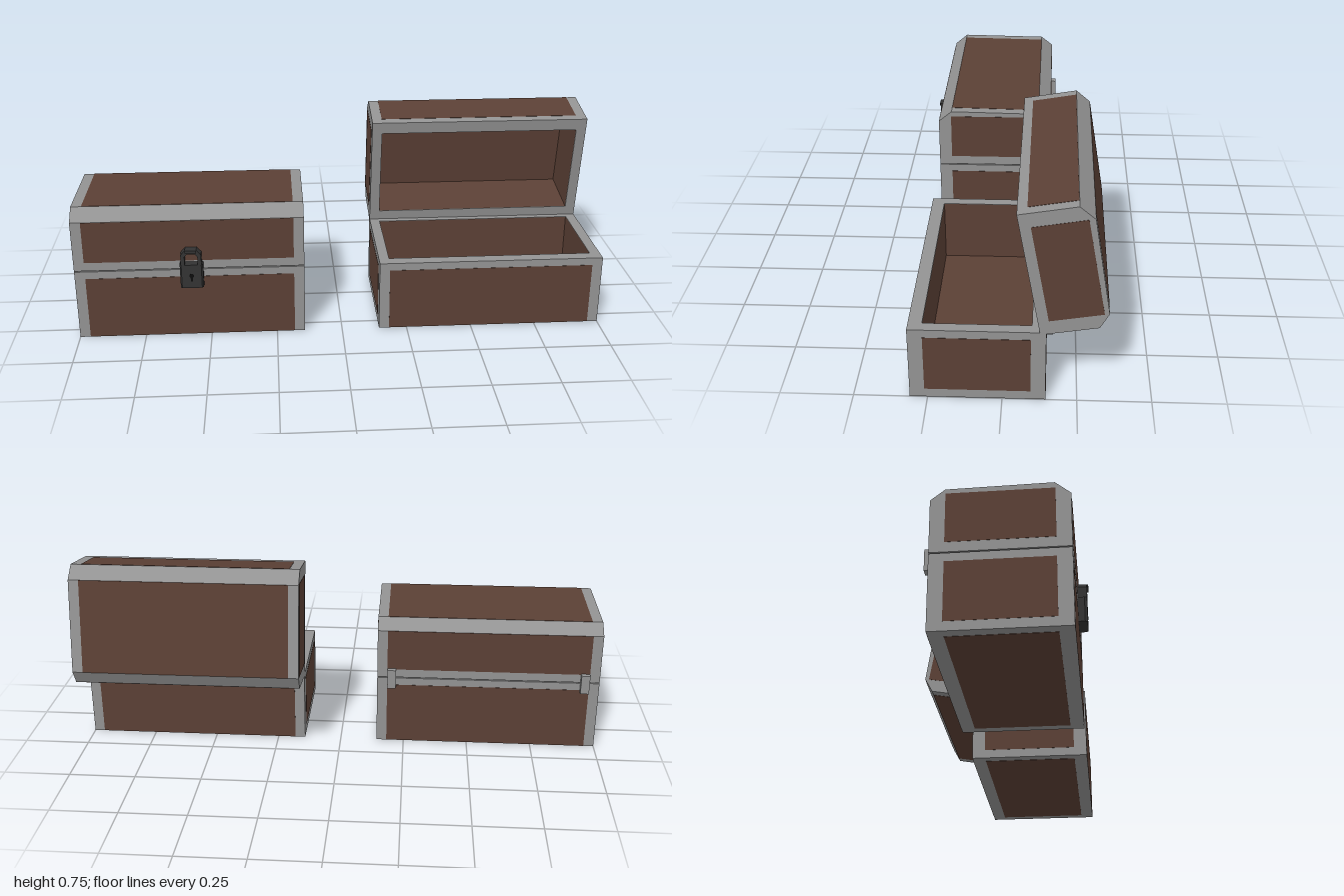
import * as THREE from 'three';

const grey = new THREE.MeshStandardMaterial({ color: 0x939393, flatShading: true });
const wood = new THREE.MeshStandardMaterial({ color: 0x5b4035, flatShading: true });
const lining = new THREE.MeshStandardMaterial({ color: 0x5b4035, side: THREE.BackSide });
const iron = new THREE.MeshStandardMaterial({ color: 0x333333, flatShading: true });
const black = new THREE.MeshStandardMaterial({ color: 0x0c0c0c });

const W = 0.857, D = 0.455, H = 0.273; // chest width, depth, base height
const TX = 0.039, TZ = 0.047;          // wall thickness at the ends and at front/back
const BACK = -0.145;

function add(parent, name, geometry, material, x = 0, y = 0, z = 0) {
  const mesh = new THREE.Mesh(geometry, material);
  mesh.name = name;
  mesh.position.set(x, y, z);
  parent.add(mesh);
  return mesh;
}

// Extrude a (z, y) outline along x, centred on x = 0
function extrudeX(points, width) {
  const shape = new THREE.Shape(points.map(p => new THREE.Vector2(...p)));
  return new THREE.ExtrudeGeometry(shape, { depth: width, bevelEnabled: false })
    .translate(0, 0, -width / 2).rotateY(-Math.PI / 2);
}

// Hollow box: a channel section between two end walls
function addShell(g, outer, inner) {
  add(g, 'channel', extrudeX([...outer, ...inner], W - 2 * TX), grey);
  for (const s of [-1, 1]) add(g, 'endWall', extrudeX(outer, TX), grey, s * (W - TX) / 2);
}

// Wooden inside; openFace is the box face left out (2 = top, 3 = bottom)
function addLining(g, y0, y1, openFace) {
  const geo = new THREE.BoxGeometry(W - 2 * TX - 0.002, y1 - y0, D - 2 * TZ - 0.002);
  const index = Array.from(geo.index.array);
  index.splice(openFace * 6, 6);
  geo.setIndex(index);
  geo.clearGroups();
  add(g, 'lining', geo, lining, 0, (y0 + y1) / 2, D / 2);
}

// Thin wooden panels on front, back and both ends
function addPanels(g, front, end) {
  const h = front[1] - front[0], e = end[1] - end[0];
  for (const z of [0, D])
    add(g, 'longPanel', new THREE.BoxGeometry(W - 2 * TX, h, 0.002), wood, 0, (front[0] + front[1]) / 2, z);
  for (const s of [-1, 1])
    add(g, 'endPanel', new THREE.BoxGeometry(0.002, e, D - 0.1), wood, s * W / 2, (end[0] + end[1]) / 2, D / 2);
}

function addHingeLeaves(g, y) {
  for (const s of [-1, 1])
    add(g, 'hingeLeaf', new THREE.BoxGeometry(0.033, 0.038, 0.02), grey, s * 0.372, y, -0.01);
}

// Origin of base and lid: the rear edge
function makeBase() {
  const g = new THREE.Group();
  g.name = 'base';
  const floor = 0.033;
  addShell(g, [[0, H], [0, 0], [D, 0], [D, H]],
    [[D - TZ, H], [D - TZ, floor], [TZ, floor], [TZ, H]]);
  addLining(g, floor + 0.001, H - 0.001, 2);
  addPanels(g, [0.001, 0.244], [0.033, 0.243]);
  add(g, 'bottomPanel', new THREE.BoxGeometry(W - 2 * TX, 0.002, D - 0.1), wood, 0, 0, D / 2);
  addHingeLeaves(g, H - 0.017);
  return g;
}

function makeLid() {
  const g = new THREE.Group();
  g.name = 'lid';
  const top = 0.22;
  addShell(g, [[0, 0], [0, 0.194], [0.049, 0.233], [D - 0.052, 0.238], [D, 0.195], [D, 0]],
    [[D - TZ, 0], [D - TZ, top], [TZ, top], [TZ, 0]]);
  addLining(g, 0.001, top - 0.001, 3);
  addPanels(g, [0.033, 0.194], [0.036, 0.217]);
  const panel = add(g, 'topPanel', new THREE.BoxGeometry(W - 2 * TX, 0.002, 0.354), wood, 0, 0.2355, 0.226);
  panel.rotation.x = -Math.atan2(0.005, 0.354);
  addHingeLeaves(g, 0.017);
  return g;
}

function makeLock() {
  const g = new THREE.Group();
  g.name = 'padlock';
  // Body with chamfered front corners
  const plan = [[-0.043, 0], [0.043, 0], [0.043, -0.024], [0.037, -0.033], [-0.037, -0.033], [-0.043, -0.024]];
  const body = new THREE.ExtrudeGeometry(new THREE.Shape(plan.map(p => new THREE.Vector2(...p)).reverse()),
    { depth: 0.094, bevelEnabled: false }).rotateX(-Math.PI / 2);
  add(g, 'lockBody', body, iron);
  // Angular shackle
  const arch = [[-0.038, 0.094], [-0.038, 0.135], [-0.021, 0.154], [0.021, 0.154], [0.038, 0.135], [0.038, 0.094],
    [0.024, 0.094], [0.024, 0.128], [0.014, 0.138], [-0.014, 0.138], [-0.024, 0.128], [-0.024, 0.094]];
  add(g, 'shackle', new THREE.ExtrudeGeometry(new THREE.Shape(arch.map(p => new THREE.Vector2(...p))),
    { depth: 0.033, bevelEnabled: false }), iron);
  add(g, 'shackleLip', new THREE.BoxGeometry(0.042, 0.01, 0.006), iron, 0, 0.149, 0.035);
  // Keyhole
  add(g, 'keyholeTop', new THREE.CylinderGeometry(0.009, 0.009, 0.002, 10).rotateX(Math.PI / 2), black, 0, 0.05, 0.033);
  add(g, 'keyholeSlot', new THREE.BoxGeometry(0.008, 0.02, 0.002), black, 0, 0.038, 0.033);
  return g;
}

function makeChest(name, x) {
  const g = new THREE.Group();
  g.name = name;
  g.position.set(x, 0, BACK);
  const lid = makeLid();
  g.add(makeBase(), lid);
  return { g, lid };
}

export function createModel() {
  const model = new THREE.Group();
  model.name = 'chests';

  const closed = makeChest('closedChest', -0.5715);
  closed.lid.position.y = 0.277;
  const lock = makeLock();
  lock.position.set(0.008, 0.211, D);
  closed.g.add(lock);

  const open = makeChest('openChest', 0.5715);
  open.lid.position.set(0, 0.265, 0.02);
  open.lid.rotation.x = -THREE.MathUtils.degToRad(80.2);

  model.add(closed.g, open.g);
  return model;
}
